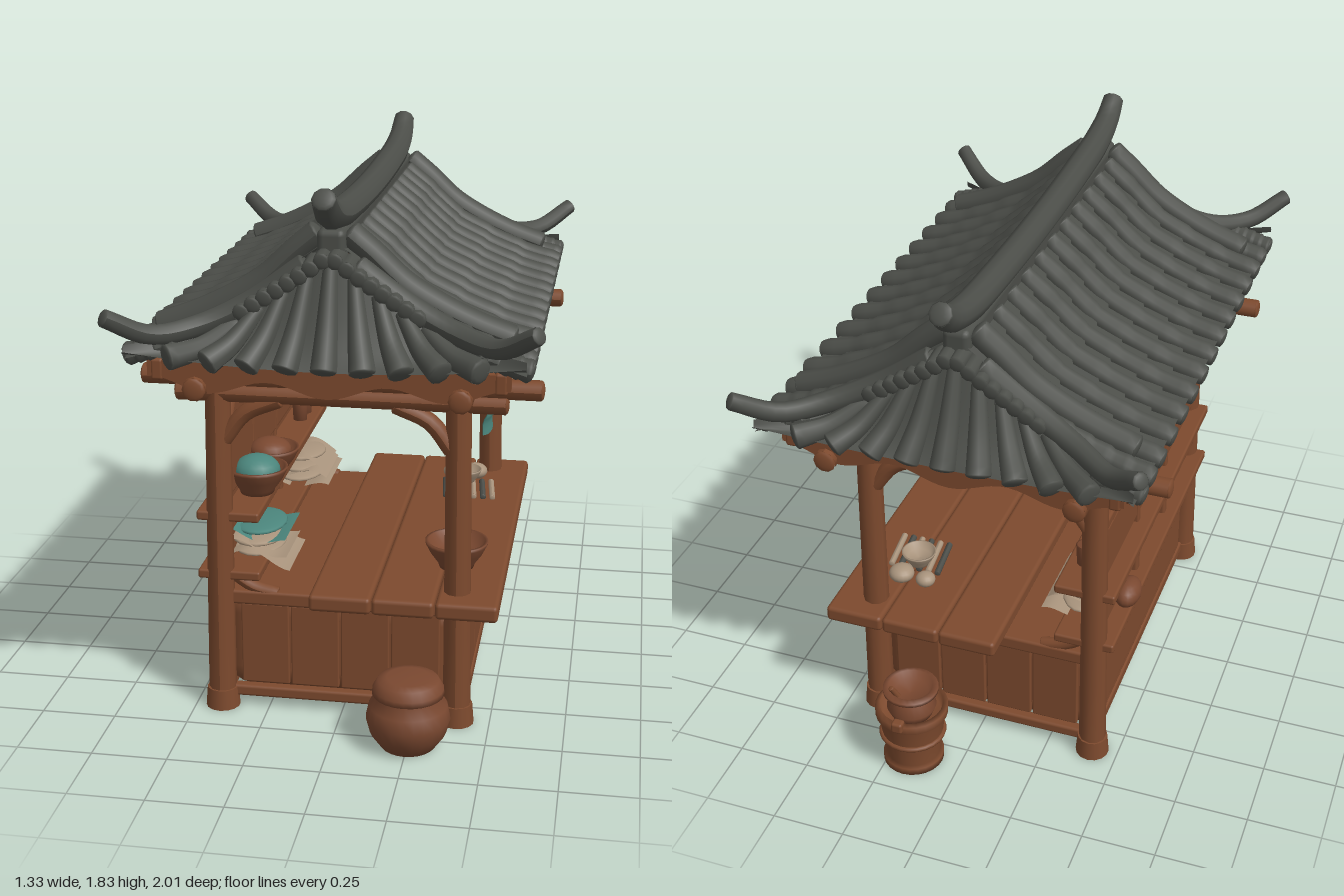
import * as THREE from 'three';
import { RoundedBoxGeometry } from 'three/addons/geometries/RoundedBoxGeometry.js';

const V = (x, y, z) => new THREE.Vector3(x, y, z);
const mat = (name, color, side = THREE.FrontSide) => {
  const m = new THREE.MeshStandardMaterial({ color, side });
  m.name = name;
  return m;
};

export function createModel() {
  const root = new THREE.Group();
  root.name = 'marketStall';
  const tile = mat('slate tile', 0x4c4e49, THREE.DoubleSide);
  const wood = mat('warm wood', 0x7d4a2e);
  const clay = mat('brown clay', 0x7a4830, THREE.DoubleSide);
  const teal = mat('teal cloth', 0x4b857c, THREE.DoubleSide);
  const cream = mat('cream cloth', 0xa8937c, THREE.DoubleSide);

  // ---------- helpers ----------
  const add = (name, geo, m, x = 0, y = 0, z = 0, parent = root) => {
    const mesh = new THREE.Mesh(geo, m);
    mesh.name = name;
    mesh.position.set(x, y, z);
    parent.add(mesh);
    return mesh;
  };
  // box given by its limits on each axis
  const box = (name, x0, x1, y0, y1, z0, z1, m = wood) => {
    const w = x1 - x0, h = y1 - y0, d = z1 - z0;
    return add(name, new RoundedBoxGeometry(w, h, d, 2, Math.min(w, h, d) * 0.25), m,
      (x0 + x1) / 2, (y0 + y1) / 2, (z0 + z1) / 2);
  };
  // rounded bar along a path, radius given as a rule of t
  const bar = (name, pts, r, m, n = 20) => {
    const curve = pts.length > 2 ? new THREE.CatmullRomCurve3(pts) : new THREE.LineCurve3(pts[0], pts[1]);
    const rad = typeof r === 'number' ? () => r : r;
    const geo = new THREE.TubeGeometry(curve, n, 1, 10, false);
    const p = geo.attributes.position, v = V(0, 0, 0);
    for (let i = 0; i < p.count; i++) {
      const t = Math.floor(i / 11) / n, c = curve.getPointAt(t);
      v.fromBufferAttribute(p, i).sub(c).multiplyScalar(rad(t)).add(c);
      p.setXYZ(i, v.x, v.y, v.z);
    }
    geo.computeVertexNormals();
    const mesh = add(name, geo, m);
    [0, 1].forEach((t) => {
      const cap = add(name + 'Cap', new THREE.SphereGeometry(rad(t), 10, 8), m, ...curve.getPointAt(t).toArray(), mesh);
      cap.scale.setScalar(0.99);
      const dir = curve.getTangentAt(t);
      cap.quaternion.setFromUnitVectors(V(0, 1, 0), dir);
      cap.scale.y = 0.3;
    });
    return mesh;
  };
  // surface from a rule f(u, v), u and v in 0..1
  const sheet = (name, nu, nv, f, m) => {
    const geo = new THREE.PlaneGeometry(1, 1, nu, nv), p = geo.attributes.position;
    for (let i = 0; i < p.count; i++) {
      const q = f((i % (nu + 1)) / nu, Math.floor(i / (nu + 1)) / nv);
      p.setXYZ(i, q.x, q.y, q.z);
    }
    geo.computeVertexNormals();
    return add(name, geo, m);
  };
  const lathe = (name, pts, m, x, y, z) =>
    add(name, new THREE.LatheGeometry(pts.map(([a, b]) => new THREE.Vector2(a, b)), 24), m, x, y, z);
  const lerpTable = (tab, x) => {
    let i = 0;
    while (i < tab.length - 2 && x > tab[i + 1][0]) i++;
    const [a, b] = [tab[i], tab[i + 1]];
    return a[1] + (b[1] - a[1]) * (x - a[0]) / (b[0] - a[0]);
  };

  // ---------- roof ----------
  const roofY = (x) => lerpTable([[0, 1.66], [0.12, 1.56], [0.24, 1.45], [0.38, 1.375], [0.5, 1.325], [0.62, 1.29]], x);
  const hipZ = (x) => lerpTable([[0, 0.74], [0.3, 0.76], [0.42, 0.8], [0.62, 0.92]], x);
  const hipY = (x) => lerpTable([[0, 1.61], [0.1, 1.54], [0.3, 1.41], [0.42, 1.36], [0.62, 1.35]], x);
  const eave = (x) => V(x, 1.28 + 0.14 * x * x, 0.88 + 0.13 * x * x);
  const tiled = (r, rows) => (t) => r * (0.9 + 0.16 * ((t * rows) % 1));
  for (const s of [-1, 1]) {
    // side slope with overlapping rows, seven rows of tiles
    sheet('roofSlope', 8, 13, (u, v) => {
      const k = Math.round(v * 13), row = Math.floor(k / 2), low = k % 2;
      const x = 0.61 * Math.min(1, (row + low) / 7);
      return V(s * x, roofY(x) + low * 0.014, (u * 2 - 1) * hipZ(x));
    }, tile);
    const rib = (z, x0) => {
      const pts = [];
      for (let i = 0; i <= 6; i++) {
        const x = x0 + (0.62 - x0) * i / 6;
        pts.push(V(s * x, roofY(x) + 0.012, z));
      }
      bar('roofRib', pts, tiled(0.037, 5), tile, 25);
    };
    for (let k = -5; k <= 5; k++) rib(k * 0.128, 0.04);
    for (const e of [-1, 1]) {
      rib(e * 0.745, 0.3);
      rib(e * 0.84, 0.47);
      // thick verge rib, upturned hip ridge and stepped gable edge
      bar('vergeRib', [0.05, 0.12, 0.22, 0.33, 0.44, 0.55].map((x) => V(s * x, roofY(x) + 0.05, e * 0.69)),
        0.042, tile);
      bar('hipRidge', [V(0.08 * s, 1.57, 0.73 * e), V(0.25 * s, 1.455, 0.74 * e), V(0.4 * s, 1.39, 0.79 * e),
        V(0.53 * s, 1.38, 0.89 * e), V(0.645 * s, 1.45, 0.98 * e)], (t) => 0.044 - 0.016 * t, tile);
      for (let i = 0; i < 8; i++) {
        const x = 0.02 + i * 0.036;
        bar('gableEdgeTile', [V(s * x, hipY(x) + 0.015, e * 0.71), V(s * x, hipY(x) + 0.005, e * 0.79)], 0.027, tile, 2);
      }
    }
    // end skirt with fanned ribs (s picks the end)
    sheet('endSkirt', 24, 8, (u, v) => {
      const x = (u * 2 - 1) * 0.61, a = Math.abs(x), b = eave(a);
      return V(x, hipY(a) + (b.y - hipY(a)) * v - 0.04 * Math.sin(v * Math.PI) * (1 - a), s * (hipZ(a) + (b.z - hipZ(a)) * v));
    }, tile);
    for (let i = -4; i <= 4; i++) {
      const x = i * 0.118, a = Math.abs(x), t = a * 0.62, b = eave(a);
      const start = V(Math.sign(x) * t, hipY(t) - 0.02, s * (hipZ(t) + 0.005));
      const end = V(x, b.y + 0.005, s * b.z);
      const mid = start.clone().lerp(end, 0.55);
      mid.y -= 0.02;
      bar('skirtRib', [start, mid, end], (q) => 0.022 + 0.02 * q, tile, 12);
    }
  }
  // ridge with horned ends
  const ridge = [[-0.85, 1.8], [-0.78, 1.75], [-0.65, 1.715], [-0.4, 1.695], [0, 1.685],
    [0.4, 1.695], [0.65, 1.715], [0.78, 1.75], [0.85, 1.8]];
  bar('ridge', ridge.map(([z, y]) => V(0, y, z)), (t) => 0.05 - 0.012 * Math.abs(t * 2 - 1) ** 6, tile, 48);
  box('ridgeBase', -0.045, 0.045, 1.6, 1.69, -0.75, 0.75, tile);

  // ---------- timber frame ----------
  for (const s of [-1, 1]) {
    for (const e of [-1, 1]) {
      const px = s < 0 ? -0.4 : 0.38;
      bar('post', [V(px + 0.01 * s, 0.02, e * 0.6), V(px, 1.2, e * 0.595)], (t) => 0.047 - 0.006 * t, wood, 4);
      add('postFoot', new THREE.CylinderGeometry(0.052, 0.058, 0.07, 14), wood, px + 0.01 * s, 0.035, e * 0.6);
      // knee braces across and along the stall
      bar('kneeBrace', [V(px - s * 0.02, 0.96, e * 0.6), V(px - s * 0.09, 1.05, e * 0.6), V(px - s * 0.2, 1.1, e * 0.6)], 0.028, wood, 8);
      bar('kneeBrace', [V(px, 0.96, e * 0.58), V(px, 1.04, e * 0.5), V(px, 1.13, e * 0.42)], 0.03, wood, 8);
    }
    bar('crossLog', [V(-0.64, 1.17, s * 0.6), V(0.64, 1.17, s * 0.6)], 0.033, wood, 4);
    bar('tieBeam', [V(-0.53, 1.12, s * 0.6), V(0.53, 1.12, s * 0.6)], 0.034, wood, 4);
    bar('sideLog', [V(s * 0.41, 1.2, -0.855), V(s * 0.41, 1.2, 0.855)], 0.038, wood, 4);
    box('sideFascia', s * 0.53 - 0.02, s * 0.53 + 0.02, 1.22, 1.29, -0.84, 0.84);
    // scalloped board under the end eave
    const board = new THREE.Shape();
    board.moveTo(-0.56, 1.285);
    for (let i = 0; i <= 40; i++) {
      const x = -0.56 + i * 0.028;
      board.lineTo(x, 1.205 - 0.022 * Math.cos(x * 17) + 0.03 * x * x);
    }
    board.lineTo(0.56, 1.285);
    add('scallopedBoard', new THREE.ExtrudeGeometry(board, { depth: 0.035, bevelEnabled: false }), wood, 0, 0, s * 0.82 - 0.0175);
  }

  // ---------- counter body ----------
  box('counterBody', -0.42, 0.4, 0.03, 0.42, -0.57, 0.57);
  for (const s of [-1, 1]) {
    box('endTopRail', -0.42, 0.4, 0.375, 0.425, s * 0.585 - 0.02, s * 0.585 + 0.02);
    box('endBottomRail', -0.42, 0.4, 0.035, 0.075, s * 0.585 - 0.02, s * 0.585 + 0.02);
    box('sideTopRail', s * 0.4 - 0.02, s * 0.4 + 0.02, 0.365, 0.425, -0.57, 0.57);
    box('sideBottomRail', s * 0.4 - 0.02, s * 0.4 + 0.02, 0.035, 0.08, -0.57, 0.57);
    for (let i = 0; i < 4; i++) {
      const x = -0.345 + i * 0.17, z = -0.53 + i * 0.265;
      box('endPlank', x, x + 0.163, 0.08, 0.37, s * 0.572 - 0.01, s * 0.572 + 0.01);
      box('sidePlank', s * 0.404 - 0.012, s * 0.404 + 0.012, 0.085, 0.36, z, z + 0.257);
    }
    bar('curvedBracket', [V(-0.37, 0.48, s * 0.58), V(-0.3, 0.435, s * 0.58), V(-0.22, 0.415, s * 0.58)], 0.022, wood, 8);
  }
  box('innerTop', -0.42, -0.08, 0.395, 0.425, -0.6, 0.6);
  for (let i = 0; i < 3; i++) {
    const x = -0.09 + i * 0.207;
    box('counterPlank', x, x + 0.204, 0.415, 0.472, -0.712, 0.712);
  }

  // ---------- back wall and shelves ----------
  box('backWall', -0.42, -0.39, 0.42, 0.95, -0.57, 0.57);
  for (let i = 0; i < 3; i++) {
    box('upperWallPanel', -0.432, -0.38, 0.73, 0.93, -0.55 + i * 0.37, -0.19 + i * 0.37);
  }
  box('upperWall', -0.415, -0.395, 0.94, 1.18, -0.57, 0.57);
  box('wallRail', -0.435, -0.375, 0.93, 0.97, -0.57, 0.57);
  for (const z of [-0.18, 0.18]) box('wallStud', -0.44, -0.36, 0.49, 0.69, z - 0.02, z + 0.02);
  for (const z of [-0.18, 0.18]) box('upperStud', -0.437, -0.38, 0.7, 1.17, z - 0.015, z + 0.015);
  box('upperShelf', -0.48, -0.27, 0.675, 0.708, -0.62, 0.62);
  box('lowerShelf', -0.48, -0.27, 0.468, 0.5, -0.62, 0.62);
  const lid = add('wallLid', new THREE.SphereGeometry(0.045, 16, 10), clay, -0.46, 0.55, -0.38);
  lid.scale.z = 1.6;

  // ---------- hanging cloth ----------
  bar('clothRod', [V(0.42, 1.195, -0.43), V(0.42, 1.195, 0.43)], 0.012, wood, 2);
  sheet('hangingCloth', 32, 16, (u, v) => {
    const a = u * 2 - 1, fold = Math.exp(-(((v - 0.76) / 0.05) ** 2));
    return V(0.425 + 0.012 * Math.sin(a * 9) * v + 0.02 * v + 0.016 * fold,
      1.2 - 0.03 * (1 - a * a) - v * (0.27 + 0.01 * Math.cos(a * 9)), -a * (0.42 - 0.09 * Math.sin(v * Math.PI / 2) + 0.05 * v * v));
  }, teal);

  // ---------- goods ----------
  const bowl = (x, y, z, r, m = clay) => lathe('bowl', [[0, 0], [0.55, 0], [0.6, 0.15], [0.85, 0.5], [1, 0.8], [1.02, 0.9], [0.92, 0.9],
    [0.7, 0.5], [0, 0.4]].map(([a, b]) => [a * r, b * r]), m, x, y, z);
  const mound = (name, x, y, z, rx, ry, rz, m) =>
    add(name, new THREE.SphereGeometry(1, 18, 12), m, x, y, z).scale.set(rx, ry, rz);
  bowl(-0.32, 0.708, 0.41, 0.103);
  mound('tealFilling', -0.32, 0.785, 0.41, 0.08, 0.055, 0.08, teal);
  bowl(-0.32, 0.708, 0.2, 0.1);
  mound('clayFilling', -0.32, 0.785, 0.2, 0.075, 0.045, 0.075, clay);
  for (const z of [-0.38, -0.47]) {
    lathe('cup', [[0, 0], [0.026, 0], [0.03, 0.075], [0.025, 0.075], [0.02, 0.01]], clay, -0.33, 0.708, z);
  }
  // folded cloths on the lower shelf
  [[0.38, 0.52, cream, 0.14], [0.4, 0.555, cream, 0.12], [0.36, 0.585, teal, 0.13],
    [-0.36, 0.52, cream, 0.15], [-0.35, 0.555, cream, 0.13], [-0.37, 0.59, cream, 0.12]].forEach(([z, y, m, w], i) => {
    sheet('foldedCloth', 12, 6, (u, v) => V(-0.39 + u * 0.2 - (i % 3) * 0.01,
      y + 0.02 * Math.sin(u * 5 + i) - 0.03 * u * u, z + (v * 2 - 1) * w), m);
    mound('clothRoll', -0.32, y - 0.004, z, 0.09, 0.018, w * 0.95, m);
  });
  // counter: bowl, slatted mat, small cream bowl and buns
  bowl(0.36, 0.472, 0.39, 0.105);
  for (let i = 0; i < 6; i++) {
    bar('matSlat', [V(0.25 + i * 0.035, 0.48, -0.25), V(0.23 + i * 0.035, 0.48, -0.42)], 0.011, i % 2 ? cream : tile, 2);
  }
  bowl(0.31, 0.485, -0.39, 0.06, cream);
  mound('bun', 0.34, 0.5, -0.48, 0.045, 0.03, 0.045, cream);
  mound('bun', 0.25, 0.495, -0.48, 0.035, 0.026, 0.035, cream);

  // ---------- lidded pot ----------
  lathe('liddedPot', [[0, 0], [0.09, 0], [0.125, 0.05], [0.138, 0.1], [0.128, 0.145], [0.1, 0.18], [0.118, 0.186], [0.116, 0.205],
    [0.1, 0.232], [0.07, 0.24], [0, 0.241]], clay, 0.25, 0, 0.775);

  // ---------- bucket with jar ----------
  const bx = 0.17, bz = -0.825;
  lathe('bucket', [[0, 0], [0.105, 0], [0.105, 0.025], [0.092, 0.03], [0.115, 0.2], [0.125, 0.205], [0.125, 0.235], [0.108, 0.24],
    [0.1, 0.2], [0, 0.2]], wood, bx, 0, bz);
  const hoop = add('bucketHoop', new THREE.TorusGeometry(0.107, 0.009, 8, 24), wood, bx, 0.12, bz);
  hoop.rotation.x = Math.PI / 2;
  for (const s of [-1, 1]) box('bucketEar', bx - 0.02, bx + 0.02, 0.215, 0.255, bz + s * 0.12 - 0.018, bz + s * 0.12 + 0.018);
  lathe('jar', [[0, 0.2], [0.07, 0.2], [0.085, 0.235], [0.065, 0.27], [0.06, 0.285], [0.095, 0.3], [0.095, 0.312], [0.075, 0.318],
    [0.06, 0.29], [0, 0.285]], clay, bx, 0, bz);
  bar('ladle', [V(bx + 0.02, 0.25, bz - 0.02), V(bx + 0.05, 0.33, bz - 0.05)], 0.01, wood, 2);
  sheet('hangingRag', 3, 5, (u, v) => V(bx + 0.03 + 0.05 * u, 0.21 - 0.13 * v, bz + 0.115 + 0.01 * Math.sin(v * 5 + u * 3)), teal);

  return root;
}
